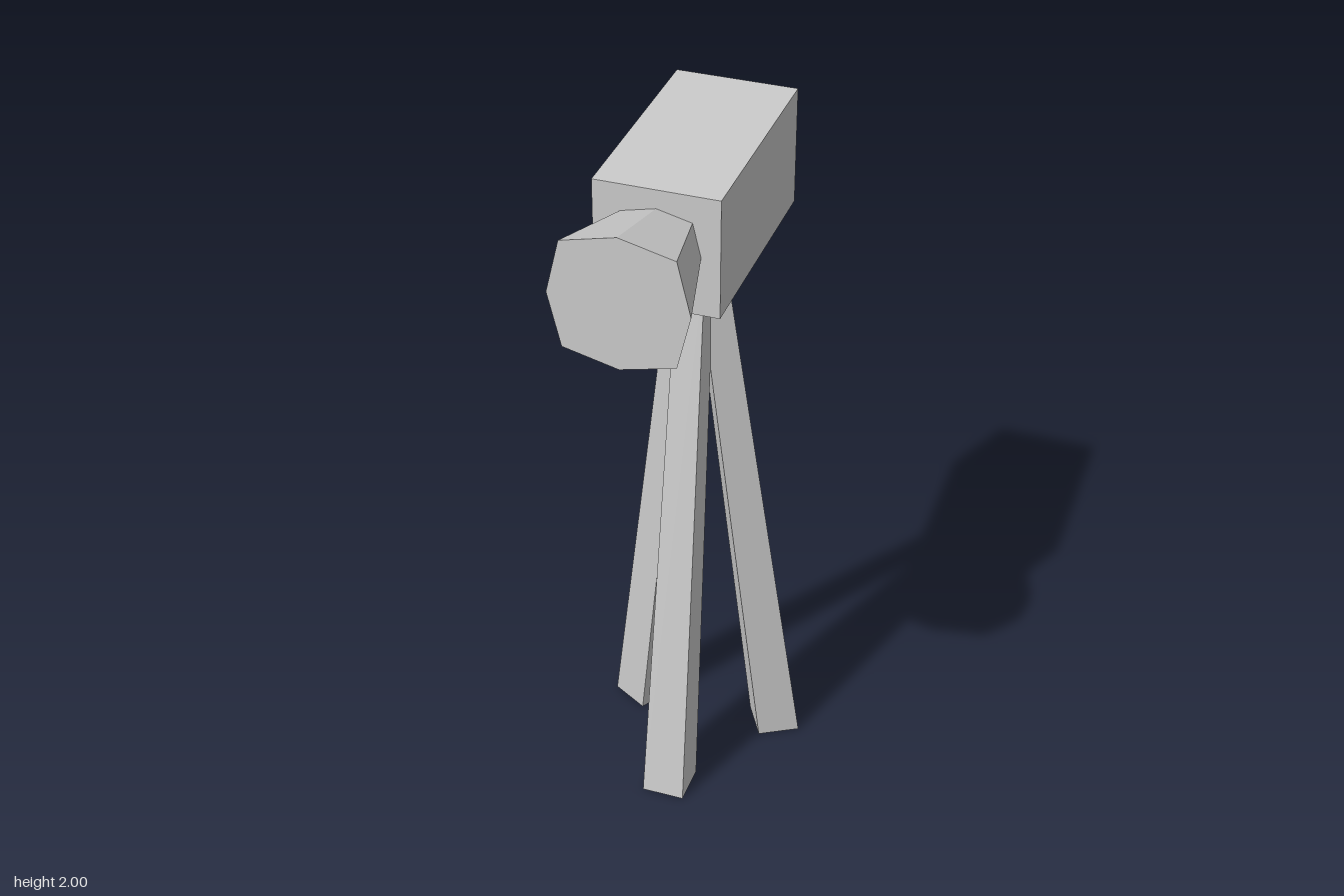
import * as THREE from 'three';

const material = new THREE.MeshStandardMaterial({ color: 0xcccccc, flatShading: true });
const openMaterial = new THREE.MeshStandardMaterial({ color: 0xcccccc, flatShading: true, side: THREE.DoubleSide });

// Moves every vertex of a geometry by a rule
function reshape(geometry, rule) {
  const pos = geometry.attributes.position;
  const v = new THREE.Vector3();
  for (let i = 0; i < pos.count; i++) {
    rule(v.fromBufferAttribute(pos, i));
    pos.setXYZ(i, v.x, v.y, v.z);
  }
  geometry.computeVertexNormals();
  return geometry;
}

function addMesh(parent, name, geometry, mat = material) {
  const mesh = new THREE.Mesh(geometry, mat);
  mesh.name = name;
  parent.add(mesh);
  return mesh;
}

export function createModel() {
  const model = new THREE.Group();
  model.name = 'cameraOnTripod';

  // Camera body
  const body = addMesh(model, 'body', new THREE.BoxGeometry(0.327, 0.326, 0.615));
  body.position.set(0, 1.822, -0.1325);

  // Flared lens hood: eight sides, with the diagonal corners pushed outward
  const hood = new THREE.CylinderGeometry(0.18, 0.114, 0.264, 8);
  reshape(hood, (v) => {
    if (Math.abs(v.x * v.z) > 1e-4) {
      v.x *= 1.139;
      v.z *= 1.139;
    }
  });
  hood.rotateX(Math.PI / 2);
  addMesh(model, 'lensHood', hood).position.set(0, 1.82, 0.306);

  // Tripod: three hollow square legs, tapering and splaying from a common axis
  const tripod = new THREE.Group();
  tripod.name = 'tripod';
  tripod.position.z = -0.1435;
  model.add(tripod);

  const height = 1.66;
  const leg = new THREE.CylinderGeometry(0.037 * Math.SQRT2, 0.06 * Math.SQRT2, height, 4, 1, true);
  leg.rotateY(Math.PI / 4);
  leg.translate(0, height / 2, 0);
  reshape(leg, (v) => { v.z += THREE.MathUtils.lerp(0.237, 0.02, v.y / height); });

  ['frontLeg', 'leftRearLeg', 'rightRearLeg'].forEach((name, i) => {
    addMesh(tripod, name, leg, openMaterial).rotation.y = (i * Math.PI * 2) / 3;
  });

  return model;
}
